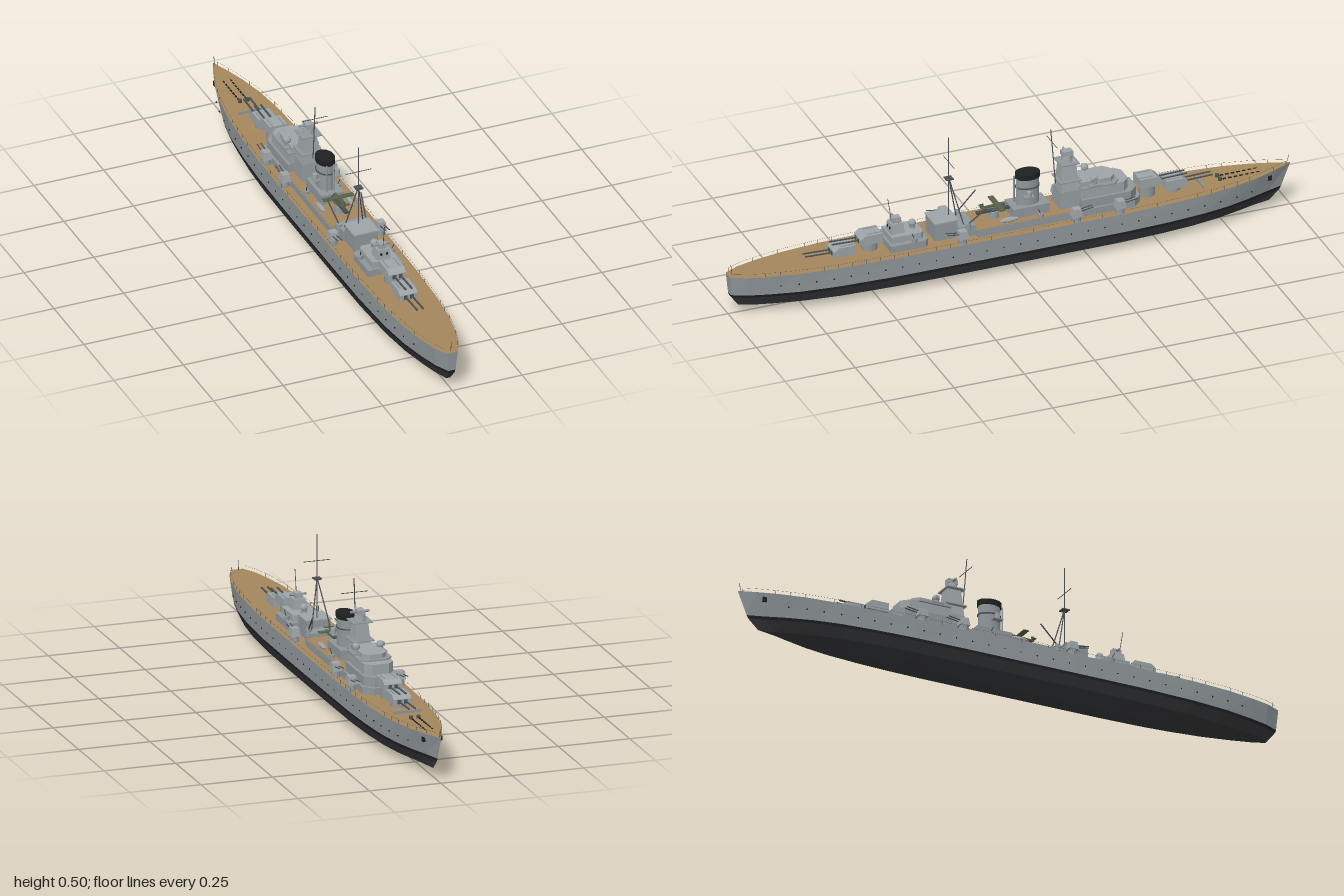
import * as THREE from 'three';

const mat = (color, double) => new THREE.MeshStandardMaterial({
  color, flatShading: true, side: double ? THREE.DoubleSide : THREE.FrontSide });
const GREY = mat(0x8f979a), LIGHT = mat(0x9da4a7), DARK = mat(0x4a4f52), BLACK = mat(0x1f2022),
  BOTTOM = mat(0x343537), WOOD = mat(0xa3865c), GREEN = mat(0x56604a);
const V = (x, y, z) => new THREE.Vector3(x, y, z);

export function createModel() {
  const root = new THREE.Group();
  root.name = 'warship';
  const add = (name, geo, m, x = 0, y = 0, z = 0, parent = root) => {
    const mesh = new THREE.Mesh(geo, m);
    mesh.name = name;
    mesh.position.set(x, y, z);
    parent.add(mesh);
    return mesh;
  };
  // box standing on y
  const box = (name, m, w, h, d, x, y, z, parent) =>
    add(name, new THREE.BoxGeometry(w, h, d), m, x, y + h / 2, z, parent);
  // cylinder standing on y
  const cyl = (name, m, rt, rb, h, x, y, z, n = 12, parent = root) =>
    add(name, new THREE.CylinderGeometry(rt, rb, h, n), m, x, y + h / 2, z, parent);
  const rod = (name, m, a, b, r, parent) => {
    const d = b.clone().sub(a), mid = a.clone().add(b).multiplyScalar(0.5);
    const mesh = add(name, new THREE.CylinderGeometry(r, r, d.length(), 6), m, mid.x, mid.y, mid.z, parent);
    mesh.quaternion.setFromUnitVectors(V(0, 1, 0), d.normalize());
    return mesh;
  };
  // upright prism over a plan outline of [x, z] points
  const prism = (name, m, pts, y0, y1) => {
    const shape = new THREE.Shape(pts.map(([x, z]) => new THREE.Vector2(x, -z)));
    const geo = new THREE.ExtrudeGeometry(shape, { depth: y1 - y0, bevelEnabled: false });
    return add(name, geo.rotateX(-Math.PI / 2), m, 0, y0, 0);
  };
  // square block that tapers to the top
  const taper = (name, m, w0, d0, w1, d1, h, x, y, z) => {
    const geo = new THREE.BoxGeometry(1, h, 1), p = geo.attributes.position;
    for (let i = 0; i < p.count; i++) {
      const top = p.getY(i) > 0;
      p.setX(i, p.getX(i) * (top ? w1 : w0));
      p.setZ(i, p.getZ(i) * (top ? d1 : d0));
    }
    geo.computeVertexNormals();
    return add(name, geo, m, x, y + h / 2, z);
  };

  // ---- Hull: stations [z, relative half width] lofted through levels
  const stations = [[1, 0.19], [0.95, 0.44], [0.88, 0.62], [0.78, 0.8], [0.65, 0.92], [0.45, 0.99], [0.2, 1], [-0.2, 1],
    [-0.4, 0.99], [-0.55, 0.94], [-0.68, 0.85], [-0.78, 0.71], [-0.87, 0.49], [-0.94, 0.25], [-1, 0]];
  const deckY = z => 0.143 + 0.013 * Math.max(0, (-z - 0.3) / 0.7) ** 2 + 0.002 * Math.max(0, z);
  const halfW = z => {
    const i = Math.max(1, stations.findIndex(s => s[0] <= z)), [z0, f0] = stations[i - 1], [z1, f1] = stations[i];
    return 0.102 * (f0 + (f1 - f0) * (z - z0) / (z1 - z0));
  };
  // y, half width, bow reach, stern reach, fineness of the ends
  const levels = [[0, 0.031, 0.78, 0.8, 1.4], [0.03, 0.087, 0.925, 0.965, 1.5], [0.065, 0.101, 0.962, 0.992, 1.3],
    [0.075, 0.102, 0.967, 0.995, 1.25], [null, 0.102, 1, 1, 1]];
  const sides = levels.map(([y, w, bow, stern, p]) => stations.map(([z, f]) =>
    V(w * f ** p, y === null ? deckY(z) : y + (y === 0 ? 0.012 * Math.abs(z) ** 6 : 0), z * (z < 0 ? bow : stern))));
  const mirror = v => V(-v.x, v.y, v.z);
  const rings = sides.map(s => [...s, ...s.map(mirror).reverse()]);
  const quads = list => {
    const pos = [];
    list.forEach(([a, b, c, d]) => [a, b, c, a, c, d].forEach(v => pos.push(v.x, v.y, v.z)));
    const geo = new THREE.BufferGeometry();
    geo.setAttribute('position', new THREE.Float32BufferAttribute(pos, 3));
    geo.computeVertexNormals();
    return geo;
  };
  const band = (lo, hi) => rings[lo].map((a, i) => {
    const j = (i + 1) % rings[lo].length;
    return [a, rings[lo][j], rings[hi][j], rings[hi][i]];
  });
  const cap = s => s.slice(1).map((b, i) => [s[i], b, mirror(b), mirror(s[i])]);
  add('hullBottom', quads([...band(0, 1), ...band(1, 2), ...cap(sides[0]).map(q => q.reverse())]), BOTTOM);
  add('waterlineStripe', quads(band(2, 3)), BLACK);
  add('hullSides', quads(band(3, 4)), GREY);
  add('mainDeck', quads(cap(sides[4])), WOOD);

  // portholes, anchors and deck rails on both sides
  for (const s of [1, -1]) {
    for (let z = -0.84; z < 0.88; z += 0.06)
      box('porthole', BLACK, 0.003, 0.004, 0.004, s * halfW(z), 0.105, z);
    box('anchor', BLACK, 0.012, 0.016, 0.014, s * 0.028, 0.122, -0.915);
    const rail = [];
    for (let z = -0.98; z <= 0.99; z += 0.0492) {
      const p = V(s * (halfW(z) - 0.002), deckY(z) + 0.013, z);
      rod('railPost', DARK, V(p.x, p.y - 0.013, z), p, 0.0004);
      rail.push(p);
    }
    rail.slice(1).forEach((p, i) => rod('rail', DARK, rail[i], p, 0.0003));
    // anchor chains and capstans
    for (let i = 0; i < 7; i++) box('anchorChain', BLACK, 0.005, 0.003, 0.012, s * 0.013, deckY(-0.8), -0.88 + i * 0.02);
    cyl('capstan', DARK, 0.007, 0.007, 0.01, s * 0.013, deckY(-0.74), -0.745);
  }
  box('breakwater', GREY, 0.1, 0.012, 0.004, 0, 0.145, -0.675);
  rod('bowStaff', DARK, V(0, 0.15, -0.985), V(0, 0.185, -0.995), 0.001);
  rod('sternStaff', DARK, V(0, 0.14, 0.985), V(0, 0.18, 0.99), 0.001);

  // ---- Main turrets
  const turret = (z, y, dir) => {
    const g = new THREE.Group();
    g.name = 'mainTurret';
    const s = new THREE.Shape([[-0.036, 0], [0.042, 0], [0.042, 0.02], [0.024, 0.033], [-0.036, 0.033]]
      .map(([a, b]) => new THREE.Vector2(a, b)));
    const geo = new THREE.ExtrudeGeometry(s, { depth: 0.062, bevelEnabled: false });
    geo.translate(0, 0, -0.031).rotateY(-Math.PI / 2);
    add('gunhouse', geo, LIGHT, 0, 0.004, 0, g);
    cyl('barbette', GREY, 0.027, 0.027, y - 0.136, 0, 0.14 - y, 0, 16, g);
    for (const x of [-0.011, 0.011]) {
      box('gunPort', DARK, 0.012, 0.014, 0.004, x, 0.008, 0.042, g);
      rod('gunBarrel', DARK, V(x, 0.016, 0.04), V(x, 0.019, 0.137), 0.0032, g);
      box('roofVent', GREY, 0.004, 0.003, 0.05, x * 1.8, 0.036, -0.01, g);
    }
    g.position.set(0, y, z);
    g.rotation.y = dir > 0 ? 0 : Math.PI;
    root.add(g);
  };
  turret(0.593, 0.144, 1);
  turret(0.498, 0.17, 1);
  turret(-0.582, 0.155, -1);
  turret(-0.49, 0.179, -1);

  // ---- Midship deckhouse with planked roof
  const house = (w, front, back, cut) => [[-w, back], [w, back], [w, front + cut], [w - cut, front], [cut - w, front], [-w, front + cut]];
  prism('midDeckhouse', GREY, house(0.068, -0.45, 0.14, 0.03), 0.14, 0.168);
  prism('midDeckhouseRoof', WOOD, house(0.066, -0.24, 0.138, 0.002), 0.168, 0.17);

  // ---- Bridge in tiers, with directors
  prism('bridgeBase', GREY, house(0.06, -0.44, -0.235, 0.03), 0.168, 0.2);
  prism('bridgeMiddle', LIGHT, house(0.051, -0.41, -0.235, 0.022), 0.2, 0.236);
  prism('bridgeWalk', GREY, house(0.058, -0.375, -0.235, 0.022), 0.236, 0.241);
  prism('bridgeTop', LIGHT, house(0.042, -0.365, -0.24, 0.02), 0.241, 0.257);
  const dome = (x, y, z) => {
    cyl('directorBase', GREY, 0.009, 0.011, 0.014, x, y, z);
    add('directorDome', new THREE.SphereGeometry(0.013, 12, 8), LIGHT, x, y + 0.02, z);
  };
  dome(0, 0.2, -0.4 + 0.005);
  for (const s of [1, -1]) {
    dome(s * 0.042, 0.245, -0.285);
    box('directorArm', GREY, 0.026, 0.012, 0.012, s * 0.044, 0.259, -0.285);
    box('bridgeWing', GREY, 0.03, 0.005, 0.045, s * 0.045, 0.241, -0.285);
  }

  // ---- Tower and foremast
  taper('towerBase', GREY, 0.08, 0.08, 0.066, 0.066, 0.06, 0, 0.168, -0.205);
  taper('tower', LIGHT, 0.062, 0.064, 0.04, 0.05, 0.102, 0, 0.226, -0.205);
  box('towerPlatform', GREY, 0.07, 0.004, 0.066, 0, 0.324, -0.205);
  box('towerGallery', GREY, 0.078, 0.004, 0.076, 0, 0.262, -0.205);
  cyl('directorColumn', LIGHT, 0.018, 0.02, 0.022, 0, 0.328, -0.205);
  box('director', LIGHT, 0.026, 0.017, 0.036, 0, 0.349, -0.205);
  rod('rangefinder', GREY, V(-0.033, 0.358, -0.205), V(0.033, 0.358, -0.205), 0.0045);
  rod('foremast', DARK, V(0, 0.25, -0.165), V(0, 0.455, -0.148), 0.0018);
  rod('foremastYard', DARK, V(-0.047, 0.408, -0.152), V(0.047, 0.408, -0.152), 0.0012);

  // ---- Funnel
  const oval = (name, m, rt, rb, h, y) => { cyl(name, m, rt, rb, h, 0, y, -0.065, 24).scale.z = 1.38; };
  box('funnelHouse', GREY, 0.08, 0.035, 0.13, 0, 0.168, -0.065);
  oval('funnel', GREY, 0.028, 0.029, 0.1, 0.2);
  oval('funnelBand', DARK, 0.0305, 0.0305, 0.004, 0.262);
  oval('funnelCap', BLACK, 0.031, 0.031, 0.019, 0.296);
  box('funnelPlatform', GREY, 0.096, 0.004, 0.035, 0, 0.238, -0.055);
  for (const s of [1, -1]) {
    cyl('searchlight', LIGHT, 0.009, 0.009, 0.018, s * 0.04, 0.242, -0.055);
    rod('steamPipe', GREY, V(s * 0.012, 0.2, -0.022), V(s * 0.012, 0.3, -0.022), 0.003);
  }

  // ---- Catapult with floatplane
  cyl('catapultPivot', GREY, 0.016, 0.018, 0.022, 0, 0.17, 0.055);
  box('catapultBeam', DARK, 0.014, 0.007, 0.125, 0, 0.192, 0.055);
  const fuselage = add('planeFuselage', new THREE.CylinderGeometry(0.003, 0.007, 0.085, 8), GREEN, 0, 0.212, 0.06);
  fuselage.rotation.x = Math.PI / 2;
  box('planeWing', GREEN, 0.11, 0.0025, 0.02, 0, 0.215, 0.045);
  box('planeTail', GREEN, 0.034, 0.002, 0.011, 0, 0.213, 0.097);
  box('planeFin', GREEN, 0.002, 0.014, 0.011, 0, 0.212, 0.097);
  for (const s of [1, -1]) {
    const float = add('planeFloat', new THREE.CapsuleGeometry(0.0035, 0.04, 3, 8), GREEN, s * 0.014, 0.202, 0.045);
    float.rotation.x = Math.PI / 2;
    // boat cranes and boats
    cyl('craneBase', GREY, 0.009, 0.01, 0.024, s * 0.048, 0.168, 0.165);
    rod('craneBoom', DARK, V(s * 0.048, 0.188, 0.165), V(s * 0.06, 0.248, 0.095), 0.0025);
    const boat = add('shipBoat', new THREE.SphereGeometry(1, 10, 6), LIGHT, s * 0.053, 0.178, 0.02);
    boat.scale.set(0.009, 0.009, 0.035);
    // secondary twin mounts along the deck edge
    for (const [z, dir] of [[-0.36, -1], [-0.205, -1], [0.2, 1]]) {
      cyl('mountBase', GREY, 0.014, 0.016, 0.022, s * 0.085, 0.142, z);
      taper('mountShield', LIGHT, 0.032, 0.036, 0.026, 0.026, 0.027, s * 0.085, 0.164, z);
      for (const o of [-0.007, 0.007])
        rod('mountBarrel', DARK, V(s * 0.085 + o, 0.178, z), V(s * 0.085 + o, 0.187, z + dir * 0.058), 0.002);
    }
    // light guns
    for (const z of [-0.09, 0.36]) {
      cyl('lightGunTub', GREY, 0.01, 0.01, 0.012, s * 0.056, 0.168, z);
      rod('lightGun', DARK, V(s * 0.056, 0.178, z), V(s * 0.06, 0.2, z + 0.01), 0.0015);
    }
  }

  // ---- Mainmast house and tripod mast
  box('mastHouse', GREY, 0.084, 0.065, 0.08, 0, 0.142, 0.24);
  box('mastHouseRoof', LIGHT, 0.09, 0.004, 0.086, 0, 0.206, 0.24);
  box('mastHouseAnnex', GREY, 0.1, 0.04, 0.06, 0, 0.142, 0.17);
  rod('mainmast', DARK, V(0, 0.18, 0.215), V(0, 0.5, 0.215), 0.002);
  for (const s of [1, -1]) rod('mastLeg', DARK, V(s * 0.034, 0.18, 0.175), V(0, 0.35, 0.215), 0.002);
  box('mastPlatform', DARK, 0.026, 0.004, 0.026, 0, 0.345, 0.215);
  rod('mainmastYard', DARK, V(-0.047, 0.408, 0.215), V(0.047, 0.408, 0.215), 0.0012);

  // ---- Aft superstructure
  prism('aftHouse', GREY, house(0.064, 0.31, 0.445, 0.012), 0.142, 0.168);
  prism('aftHouseUpper', LIGHT, house(0.045, 0.32, 0.435, 0.01), 0.168, 0.19);
  taper('aftControl', LIGHT, 0.05, 0.05, 0.04, 0.042, 0.035, 0, 0.19, 0.405);
  for (const x of [-0.01, 0.01]) box('aftWindow', BLACK, 0.007, 0.008, 0.003, x, 0.205, 0.428);
  box('aftDirector', LIGHT, 0.024, 0.018, 0.03, 0, 0.225, 0.405);
  rod('aftRangefinder', GREY, V(-0.03, 0.236, 0.405), V(0.03, 0.236, 0.405), 0.004);
  rod('aftPole', DARK, V(0, 0.24, 0.42), V(0, 0.315, 0.432), 0.0012);
  dome(0, 0.188, 0.345);
  return root;
}
